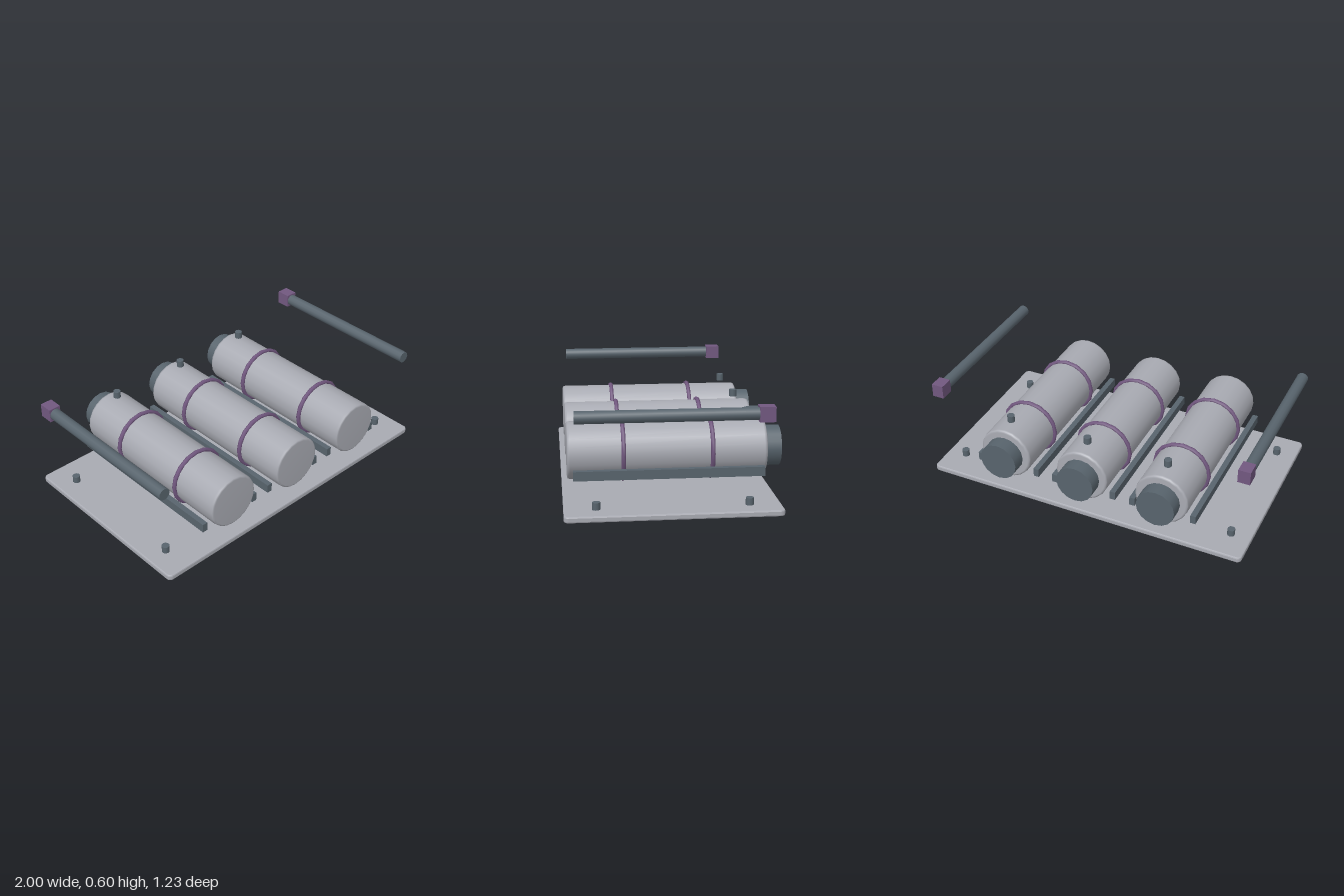
import * as THREE from 'three';

export function createModel() {
  const root = new THREE.Group();
  const mat = (name, color) => {
    const m = new THREE.MeshStandardMaterial({ color });
    m.name = name;
    return m;
  };
  const paleGrey = mat('paleGrey', 0xa8aab2);
  const slate = mat('slate', 0x58646d);
  const purple = mat('purple', 0x725880);

  const add = (parent, name, geometry, material, x, y, z) => {
    const mesh = new THREE.Mesh(geometry, material);
    mesh.name = name;
    mesh.position.set(x, y, z);
    parent.add(mesh);
    return mesh;
  };

  // Base plate with rounded corners and a thin bevelled rim
  const bevel = 0.008, w = 1 - bevel, d = 0.59 - bevel, r = 0.02;
  const outline = new THREE.Shape();
  outline.absarc(w - r, d - r, r, 0, Math.PI / 2);
  outline.absarc(-w + r, d - r, r, Math.PI / 2, Math.PI);
  outline.absarc(-w + r, -d + r, r, Math.PI, Math.PI * 1.5);
  outline.absarc(w - r, -d + r, r, Math.PI * 1.5, Math.PI * 2);
  const plate = new THREE.ExtrudeGeometry(outline, {
    depth: 0.035 - 2 * bevel, bevelThickness: bevel, bevelSize: bevel, bevelSegments: 2, curveSegments: 4,
  });
  plate.rotateX(-Math.PI / 2);
  add(root, 'basePlate', plate, paleGrey, 0, bevel, 0.025);

  // Tube body with softened ends, lying along z
  const profile = [[0, -0.56], [0.148, -0.56], [0.159, -0.555], [0.162, -0.543],
    [0.162, 0.543], [0.159, 0.555], [0.148, 0.56], [0, 0.56]];
  const tube = new THREE.LatheGeometry(profile.map(([x, y]) => new THREE.Vector2(x, y)), 20);
  tube.rotateX(Math.PI / 2);
  const collar = new THREE.CylinderGeometry(0.116, 0.116, 0.1, 16).rotateX(Math.PI / 2);
  const band = new THREE.TorusGeometry(0.168, 0.0135, 6, 16);
  const rail = new THREE.BoxGeometry(0.033, 0.053, 1.066);
  const knob = new THREE.CylinderGeometry(0.0225, 0.0225, 0.042, 10);

  // Three tubes, each with collar, bands, knob and a pair of rails
  for (const x of [-0.5, 0, 0.5]) {
    const unit = new THREE.Group();
    unit.name = 'tubeUnit';
    unit.position.x = x;
    root.add(unit);
    add(unit, 'tube', tube, paleGrey, 0, 0.265, 0.027);
    add(unit, 'rearCollar', collar, slate, 0, 0.265, -0.57);
    for (const z of [-0.222, 0.275]) add(unit, 'band', band, purple, 0, 0.264, z);
    add(unit, 'topKnob', knob, slate, 0, 0.467, -0.442);
    for (const side of [-1, 1]) add(unit, 'rail', rail, slate, side * 0.188, 0.167, 0.023);
  }

  // Side rods with end blocks, and bolts at the plate corners
  const rod = new THREE.CylinderGeometry(0.035, 0.035, 0.97, 12).rotateX(Math.PI / 2);
  const block = new THREE.BoxGeometry(0.072, 0.082, 0.085);
  for (const side of [-1, 1]) {
    add(root, 'sideRod', rod, slate, side * 0.96, 0.558, 0.067);
    add(root, 'rodBlock', block, purple, side * 0.96, 0.558, -0.457);
    for (const z of [-0.39, 0.44]) add(root, 'bolt', knob, slate, side * 0.88, 0.055, z);
  }
  return root;
}
